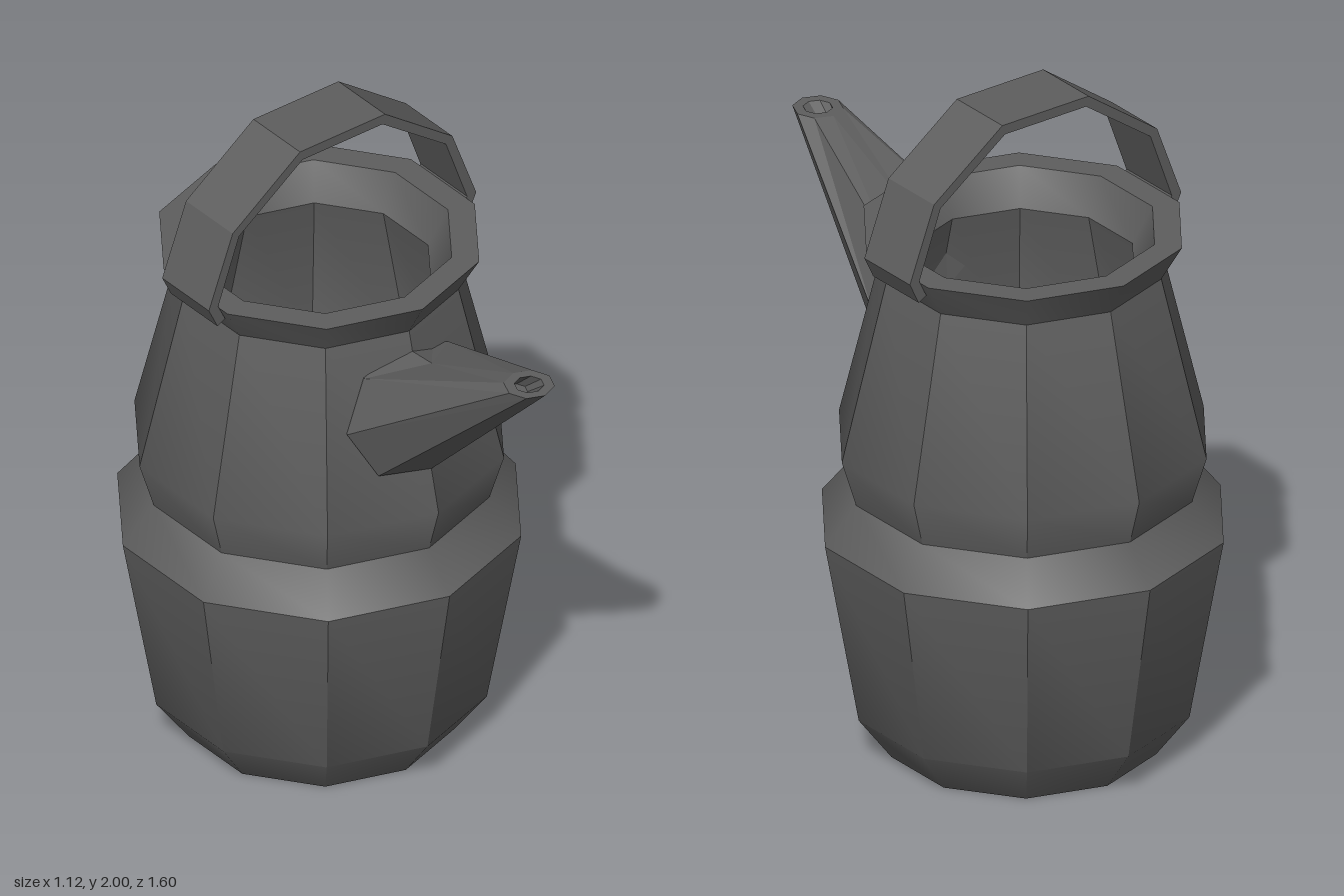
import * as THREE from 'three';
import { toCreasedNormals } from 'three/addons/utils/BufferGeometryUtils.js';

const CENTER_Z = -0.217;

// Skin a series of closed rings that have equal point counts
function loft(rings) {
  const pos = [];
  for (let k = 0; k < rings.length - 1; k++) {
    const r0 = rings[k], r1 = rings[k + 1], n = r0.length;
    for (let i = 0; i < n; i++) {
      const j = (i + 1) % n;
      for (const p of [r0[i], r0[j], r1[j], r0[i], r1[j], r1[i]]) pos.push(...p);
    }
  }
  const geo = new THREE.BufferGeometry();
  geo.setAttribute('position', new THREE.Float32BufferAttribute(pos, 3));
  geo.computeVertexNormals();
  return geo;
}

// Complete a half ring (bottom to top, +x side) by mirroring it
function mirrorRing(half) {
  const other = half.slice(1, -1).reverse().map(([x, y, z]) => [-x, y, z]);
  return [...half, ...other];
}

// Horizontal octagon starting at its +z corner
function octagon(r, y, z) {
  return Array.from({ length: 8 }, (_, i) => {
    const a = (i / 8) * Math.PI * 2;
    return [r * Math.sin(a), y, z + r * Math.cos(a)];
  });
}

export function createModel() {
  const group = new THREE.Group();
  const iron = new THREE.MeshStandardMaterial({ color: 0x5e5e5e });
  iron.name = 'dark iron';

  const add = (name, geo) => {
    const mesh = new THREE.Mesh(geo, iron);
    mesh.name = name;
    group.add(mesh);
    return mesh;
  };

  // Ten-sided vessel: outer wall up to the rim, then the inner wall down to the floor
  const profile = [
    [0, 0], [0.39, 0], [0.487, 0.13], [0.587, 0.69], [0.495, 0.805],
    [0.537, 0.945], [0.405, 1.49], [0.465, 1.595],
    [0.385, 1.595], [0.325, 1.49], [0.457, 0.945], [0.415, 0.805],
    [0.507, 0.67], [0.41, 0.15], [0.34, 0.08], [0, 0.08],
  ].map(([x, y]) => new THREE.Vector2(x, y));
  const body = add('body', toCreasedNormals(new THREE.LatheGeometry(profile, 10), 0.56));
  body.position.z = CENTER_Z;

  // Spout: flared root in the wall, tapering to a level tip with a recessed hole
  const root = mirrorRing([
    [0, 1.11, 0.16], [0.13, 1.12, 0.15], [0.19, 1.23, 0.13], [0.13, 1.37, 0.13], [0, 1.425, 0.14],
  ]);
  const flare = mirrorRing([
    [0, 1.08, 0.29], [0.155, 1.095, 0.245], [0.22, 1.23, 0.185], [0.15, 1.385, 0.175], [0, 1.435, 0.29],
  ]);
  add('spout', loft([
    octagon(0, 1.27, 0.13), root, flare,
    octagon(0.072, 1.595, 0.728), octagon(0.042, 1.595, 0.728),
    octagon(0.035, 1.54, 0.665), octagon(0, 1.54, 0.665),
  ]));

  // Flat strap handle arched over the mouth
  const outer = [[0.447, 1.535], [0.478, 1.6], [0.393, 1.825], [0.152, 2.0]];
  const inner = [[0.42, 1.55], [0.445, 1.6], [0.37, 1.807], [0.143, 1.97]];
  const flip = (pts) => pts.map(([x, y]) => [-x, y]);
  const outline = [
    ...outer, ...flip(outer).reverse(),
    ...flip(inner), ...[...inner].reverse(),
  ].map(([x, y]) => new THREE.Vector2(x, y));
  const strap = new THREE.ExtrudeGeometry(new THREE.Shape(outline), { depth: 0.21, bevelEnabled: false });
  add('handle', strap).position.z = CENTER_Z - 0.105;

  return group;
}
